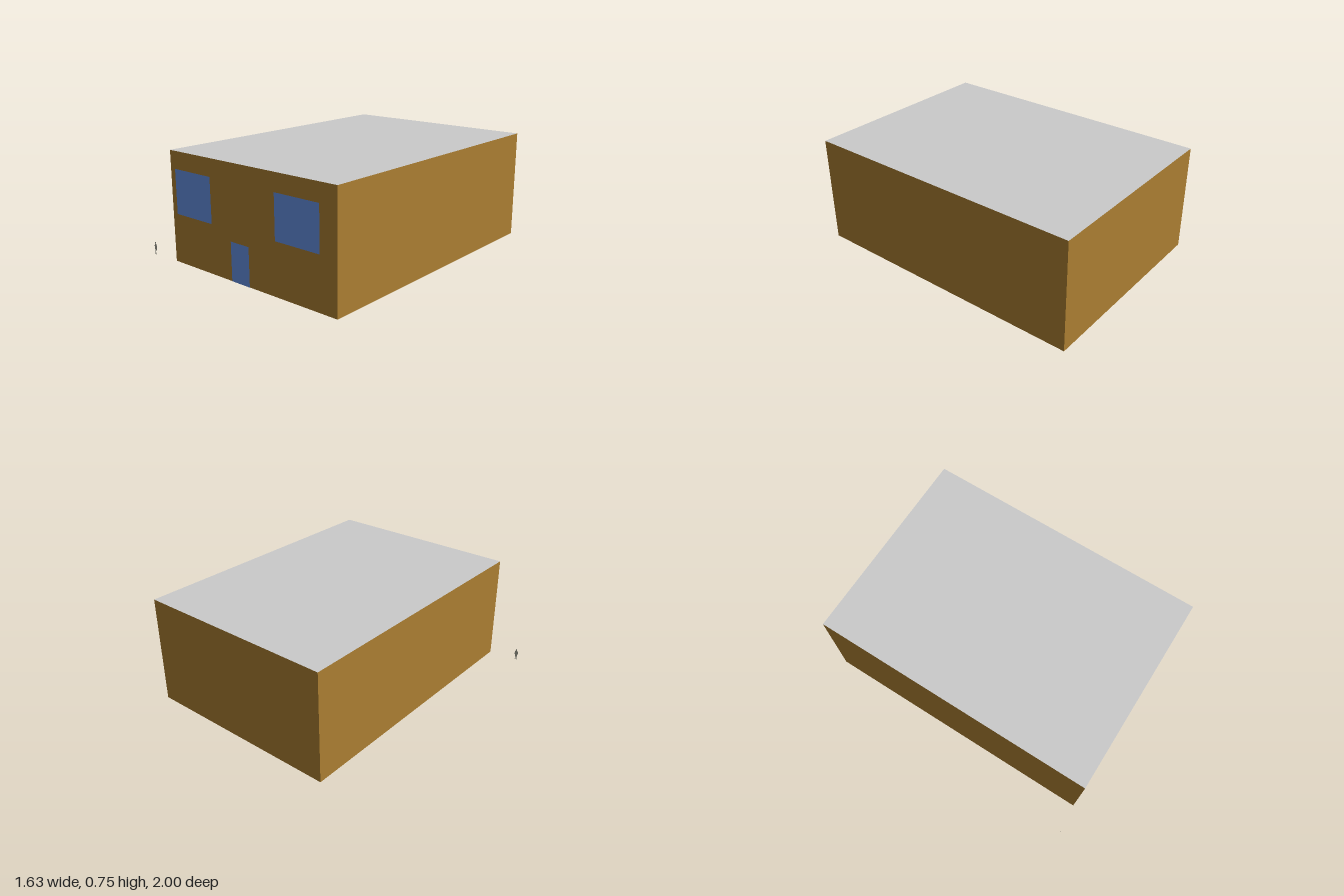
import * as THREE from 'three';

export function createModel() {
  const model = new THREE.Group();
  const material = (name, color, side = THREE.FrontSide) => {
    const m = new THREE.MeshStandardMaterial({ color, side });
    m.name = name;
    return m;
  };
  const wall = material('ochre wall', 0xac7f32);
  const slab = material('grey slab', 0xcbcbcb);
  const glass = material('blue glass', 0x6693e6);
  const figureGrey = material('figure grey', 0xa9a99c, THREE.DoubleSide);

  const add = (name, geometry, mat, x, y, z) => {
    const mesh = new THREE.Mesh(geometry, mat);
    mesh.name = name;
    mesh.position.set(x, y, z);
    model.add(mesh);
  };

  // Building block: ochre walls, grey roof and floor (faces: +x -x +y -y +z -z)
  const x0 = -0.597, x1 = 0.817, z0 = -1, z1 = 0.985, height = 0.753;
  add('building', new THREE.BoxGeometry(x1 - x0, height, z1 - z0),
    [wall, wall, slab, slab, wall, wall], (x0 + x1) / 2, height / 2, (z0 + z1) / 2);

  // Openings on the front wall: name, left, right, bottom, top
  const openings = [
    ['rightWindow', -0.553, -0.212, 0.334, 0.635],
    ['leftWindow', 0.346, 0.69, 0.345, 0.635],
    ['door', -0.039, 0.12, 0, 0.258],
  ];
  for (const [name, l, r, b, t] of openings) {
    add(name, new THREE.PlaneGeometry(r - l, t - b), glass, (l + r) / 2, (b + t) / 2, z1 + 0.002);
  }

  // Flat standing figure beside the building, for scale
  const outline = [
    [-0.009, 0], [-0.003, 0], [-0.002, 0.02], [0, 0.036], [0.001, 0.018], [0.001, 0.002],
    [0.007, 0], [0.005, 0.02], [0.008, 0.036], [0.013, 0.045], [0.013, 0.064], [0.009, 0.074],
    [0.004, 0.077], [0.005, 0.084], [0.002, 0.09], [-0.003, 0.09], [-0.005, 0.084],
    [-0.003, 0.077], [-0.009, 0.073], [-0.013, 0.06], [-0.012, 0.046], [-0.008, 0.034], [-0.007, 0.015],
  ].map(([x, y]) => new THREE.Vector2(x, y));
  add('standingFigure', new THREE.ShapeGeometry(new THREE.Shape(outline)), figureGrey, -0.804, 0, 1);

  return model;
}
